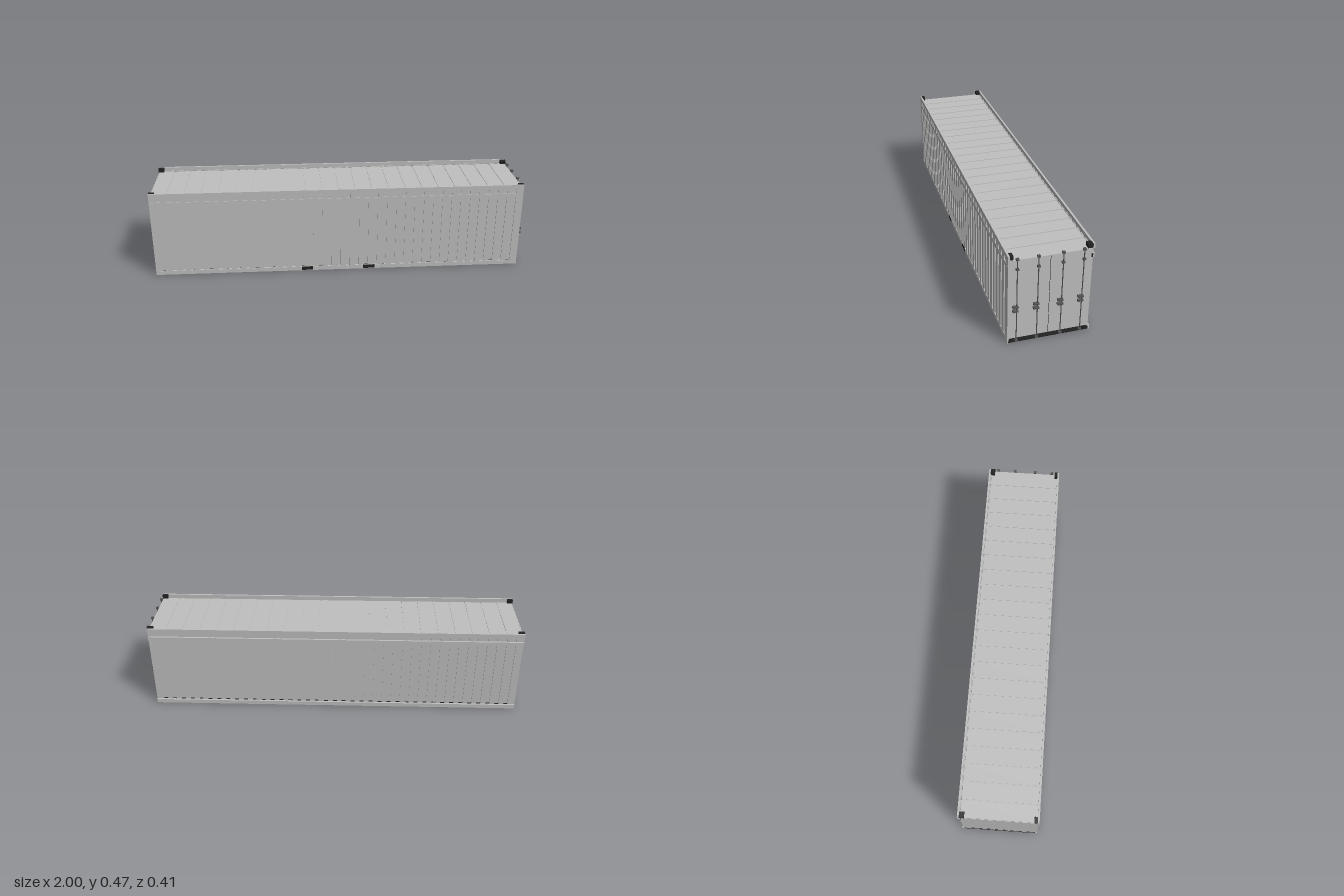
import * as THREE from 'three';

const paint = new THREE.MeshStandardMaterial({ name: 'container grey', color: 0xc0c0c0 });
const steel = new THREE.MeshStandardMaterial({ name: 'lock steel', color: 0x555555 });
const black = new THREE.MeshStandardMaterial({ name: 'casting black', color: 0x222222 });

// Box given by its limits on each axis
function block(parent, name, mat, [x0, x1], [y0, y1], [z0, z1]) {
  const mesh = new THREE.Mesh(new THREE.BoxGeometry(x1 - x0, y1 - y0, z1 - z0), mat);
  mesh.position.set((x0 + x1) / 2, (y0 + y1) / 2, (z0 + z1) / 2);
  mesh.name = name;
  parent.add(mesh);
  return mesh;
}

function group(parent, name) {
  const g = new THREE.Group();
  g.name = name;
  parent.add(g);
  return g;
}

export function createModel() {
  const model = new THREE.Group();
  model.name = 'shippingContainer';
  const X = [-1, 0.985];

  // Main shell and floor plate, with an open gap between them
  block(model, 'body', paint, [-0.996, 0.985], [0.025, 0.447], [-0.187, 0.197]);
  block(model, 'floorPlate', black, X, [0.001, 0.006], [-0.195, 0.197]);

  // Roof panels separated by narrow grooves
  const roof = group(model, 'roof');
  const panels = 22;
  const pitch = 1.981 / panels;
  for (let i = 0; i < panels; i++) {
    const x = -0.996 + i * pitch;
    const end = i === panels - 1 ? 0 : 0.008;
    block(roof, 'roofPanel', paint, [x, x + pitch - end], [0.447, 0.45], [-0.187, 0.197]);
  }

  // Side walls: corrugation ribs and longitudinal rails
  const sides = [
    { name: 'frontSide', rib: [0.197, 0.202], rail: [0.196, 0.203], top: [0.193, 0.203], width: 0.58 },
    { name: 'backSide', rib: [-0.193, -0.187], rail: [-0.202, -0.192], top: [-0.202, -0.192], width: 0.55 },
  ];
  const ribs = 40;
  const step = 1.985 / ribs;
  for (const s of sides) {
    const side = group(model, s.name);
    block(side, 'bottomRail', paint, X, [0, 0.022], s.top);
    block(side, 'middleRail', paint, X, [0.402, 0.424], s.rail);
    block(side, 'topRail', paint, X, [0.45, 0.473], s.top);
    for (let i = 0; i < ribs; i++) {
      const c = -1 + (i + 0.5) * step;
      const h = (step * s.width) / 2;
      block(side, 'rib', paint, [c - h, c + h], [0.02, 0.453], s.rib);
    }
    // Solid posts close the ends of each wall
    block(side, 'leftPost', paint, [-1, -0.985], [0.02, 0.453], s.rib);
    block(side, 'rightPost', paint, [0.97, 0.985], [0.02, 0.453], s.rib);
  }

  // Corrugated end wall
  const endWall = group(model, 'endWall');
  for (let i = 0; i < 9; i++) {
    const z = -0.187 + (i * 0.384) / 9;
    block(endWall, 'endRib', paint, [-1, -0.996], [0.025, 0.447], [z + 0.008, z + 0.034]);
  }

  // Corner castings tucked inside the rails
  const castings = group(model, 'cornerCastings');
  for (const x of [[-1.0, -0.97], [0.956, 0.986]]) {
    for (const y of [[0.002, 0.02], [0.454, 0.474]]) {
      block(castings, 'casting', black, x, y, [0.178, 0.194]);
      block(castings, 'casting', black, x, y, [-0.193, -0.168]);
    }
    block(castings, 'middleCasting', black, x, [0.404, 0.424], [-0.194, -0.186]);
  }

  // Forklift pocket covers on the front bottom rail
  for (const x of [[-0.21, -0.15], [0.125, 0.19]]) {
    block(model, 'forkPocket', black, x, [0.003, 0.022], [0.2, 0.204]);
  }

  // Door seam and locking bars
  const doors = group(model, 'doors');
  block(doors, 'doorSeam', black, [0.984, 0.9855], [0.026, 0.447], [0.0045, 0.0065]);
  for (const z of [0.161, 0.063, -0.052, -0.15]) {
    const bar = new THREE.Mesh(new THREE.CylinderGeometry(0.0025, 0.0025, 0.446, 10), steel);
    bar.position.set(0.992, 0.237, z);
    bar.name = 'lockingBar';
    doors.add(bar);
    for (const y of [0.016, 0.406, 0.457]) {
      block(doors, 'barBracket', steel, [0.983, 0.997], [y - 0.0045, y + 0.0045], [z - 0.007, z + 0.007]);
    }
    for (const y of [0.183, 0.205]) {
      block(doors, 'handle', steel, [0.985, 1], [y - 0.0045, y + 0.0045], [z - 0.007, z + 0.02]);
    }
  }
  return model;
}
